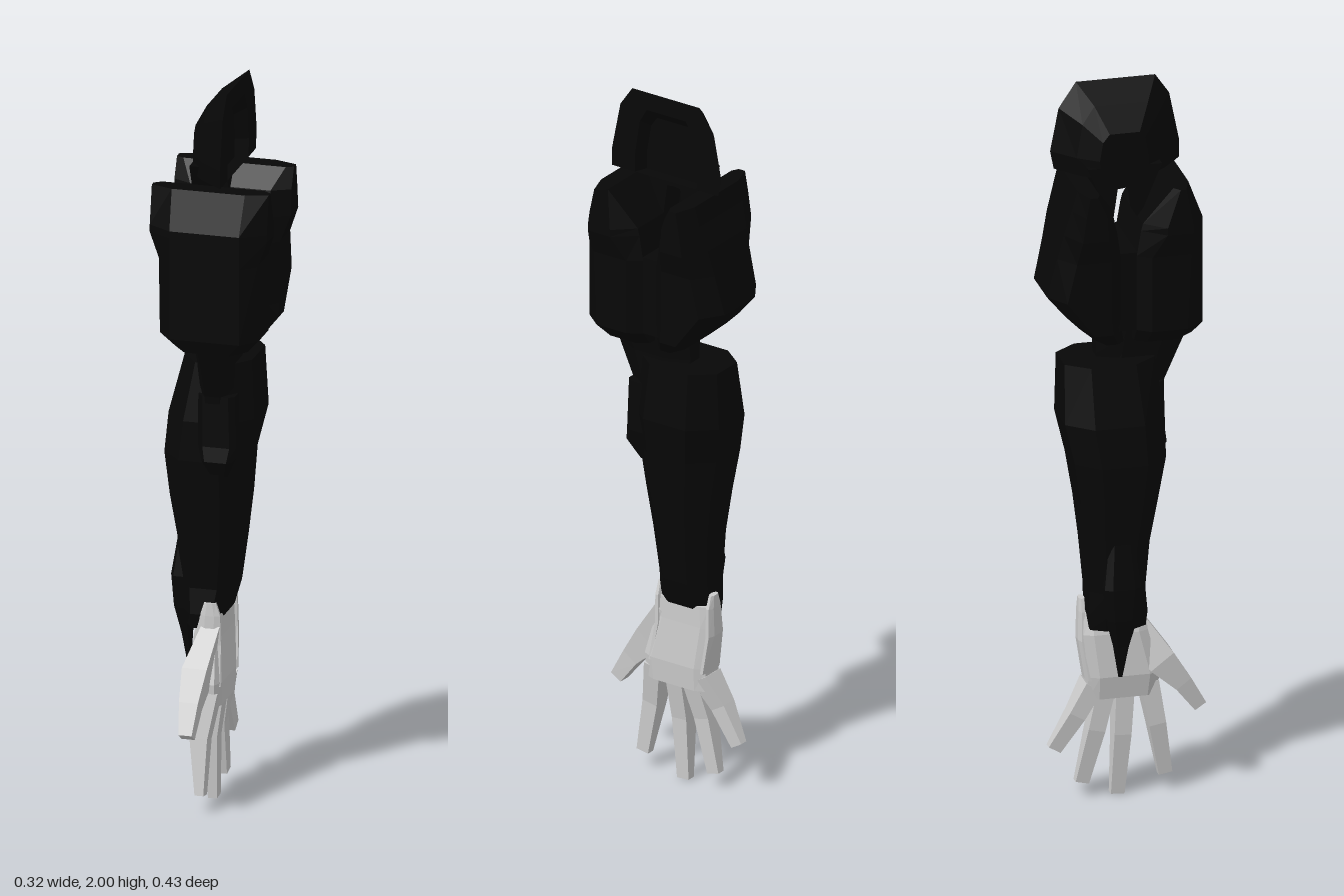
import * as THREE from 'three';

const dark = new THREE.MeshStandardMaterial({ color: 0x070707, flatShading: true });
const grey = new THREE.MeshStandardMaterial({ color: 0xcccccc, flatShading: true });

// Closed solid through a list of rings ([x, y, z] corners), capped by fans
function loft(name, rings, material) {
  const n = rings[0].length, tris = [];
  for (let i = 0; i < rings.length - 1; i++) {
    for (let j = 0; j < n; j++) {
      const k = (j + 1) % n;
      const [a, b, c, d] = [rings[i][j], rings[i][k], rings[i + 1][k], rings[i + 1][j]];
      tris.push([a, c, b], [a, d, c]);
    }
  }
  const fan = (ring, flip) => {
    const mid = [0, 1, 2].map(q => ring.reduce((s, p) => s + p[q], 0) / n);
    ring.forEach((p, j) => {
      const r = ring[(j + 1) % n];
      tris.push(flip ? [mid, r, p] : [mid, p, r]);
    });
  };
  fan(rings[0], false);
  fan(rings[rings.length - 1], true);
  // Turn the faces outward by the sign of the enclosed volume
  const vol = tris.reduce((s, [a, b, c]) => s
    + a[0] * (b[1] * c[2] - b[2] * c[1])
    + a[1] * (b[2] * c[0] - b[0] * c[2])
    + a[2] * (b[0] * c[1] - b[1] * c[0]), 0);
  if (vol < 0) tris.forEach(t => t.reverse());
  const geo = new THREE.BufferGeometry();
  geo.setAttribute('position', new THREE.Float32BufferAttribute(tris.flat(2), 3));
  geo.computeVertexNormals();
  const mesh = new THREE.Mesh(geo, material);
  mesh.name = name;
  return mesh;
}

// Horizontal rectangle with cut corners
function octagon([y, x0, x1, z0, z1], cut = 0.28) {
  const cx = (x1 - x0) * cut, cz = (z1 - z0) * cut;
  return [[x0 + cx, y, z0], [x1 - cx, y, z0], [x1, y, z0 + cz], [x1, y, z1 - cz],
    [x1 - cx, y, z1], [x0 + cx, y, z1], [x0, y, z1 - cz], [x0, y, z0 + cz]];
}

// Half of the upper arm block: narrow inner edge, wide sides, chamfered outer face
function slabRing([y, w, zIn, zA, zB, zOut, wIn, wOut]) {
  const half = [[wIn, zIn], [w, zA], [w, zB], [wOut, zOut]];
  return [...half.map(([x, z]) => [x, y, z]),
    ...half.reverse().map(([x, z]) => [-x, y, z])];
}

// Tapered finger along [x, y, z, width, thickness] stations, bending in the hand plane
function finger(name, stations) {
  const rings = stations.map(([x, y, z, w, t], i) => {
    const a = stations[Math.max(i - 1, 0)], b = stations[Math.min(i + 1, stations.length - 1)];
    const dy = b[1] - a[1], dz = b[2] - a[2], len = Math.hypot(dy, dz);
    const py = dz / len * w / 2, pz = -dy / len * w / 2;
    return [[x - t / 2, y - py, z - pz], [x + t / 2, y - py, z - pz],
      [x + t / 2, y + py, z + pz], [x - t / 2, y + py, z + pz]];
  });
  return loft(name, rings, grey);
}

export function createModel() {
  const model = new THREE.Group();

  // Shoulder cap: recessed inner face open at the bottom, sloping to a small outer face
  const outline = [[0.1, 1.76], [0.17, 1.76], [0.17, 1.81], [0.143, 1.945], [0.105, 2], [-0.11, 2],
    [-0.157, 1.93], [-0.18, 1.81], [-0.17, 1.76], [-0.1, 1.76]];
  const capRing = (x, sz, top) => outline.map(([z, y]) =>
    [x, 1.83 + (y - 1.83) * (y > 1.83 ? top : 1), -0.005 + (z + 0.005) * sz]);
  model.add(loft('shoulderCap', [
    capRing(0, 0.5, 0.5), capRing(0.035, 0.58, 0.7), capRing(0.035, 1, 1),
    capRing(-0.03, 0.68, 0.72), capRing(-0.07, 0.38, 0.32),
  ], dark));

  // Forked shoulder joint reaching down into the notch
  const prong = [[0.1, 1.79], [0, 1.79], [0, 1.73], [0.02, 1.73], [0.032, 1.645], [0.05, 1.67]];
  for (const side of [1, -1]) {
    model.add(loft('shoulderJoint', [-0.07, 0].map(x =>
      prong.map(([z, y]) => [x, y, z * side - 0.003])), dark));
  }

  // Upper arm: front and back slabs around a core, with an open notch above it
  model.add(loft('upperArmFront', [
    [1.745, 0.16, 0.11, 0.125, 0.14, 0.16, 0.14, 0.1],
    [1.64, 0.16, 0.035, 0.09, 0.16, 0.2, 0.11, 0.095],
    [1.62, 0.16, 0.03, 0.09, 0.16, 0.2, 0.11, 0.095],
    [1.55, 0.135, 0.018, 0.055, 0.16, 0.2, 0.11, 0.095],
    [1.34, 0.135, 0.018, 0.055, 0.15, 0.2, 0.11, 0.095],
    [1.3, 0.1, 0.018, 0.05, 0.13, 0.18, 0.08, 0.06],
  ].map(slabRing), dark));
  model.add(loft('upperArmBack', [
    [1.745, 0.16, -0.09, -0.1, -0.12, -0.14, 0.14, 0.1],
    [1.69, 0.16, -0.05, -0.075, -0.13, -0.155, 0.11, 0.1],
    [1.62, 0.16, -0.035, -0.07, -0.14, -0.175, 0.11, 0.09],
    [1.55, 0.135, -0.025, -0.055, -0.15, -0.19, 0.11, 0.08],
    [1.44, 0.132, -0.025, -0.055, -0.175, -0.215, 0.11, 0.07],
    [1.38, 0.132, -0.025, -0.055, -0.13, -0.165, 0.11, 0.07],
    [1.34, 0.132, -0.02, -0.05, -0.1, -0.125, 0.1, 0.07],
    [1.3, 0.1, -0.01, -0.03, -0.06, -0.08, 0.08, 0.06],
  ].map(slabRing), dark));
  const core = new THREE.Mesh(new THREE.BoxGeometry(0.22, 0.22, 0.06), dark);
  core.name = 'upperArmCore';
  core.position.set(0, 1.45, -0.003);
  model.add(core);

  // Elbow link
  model.add(loft('elbow', [
    [1.36, -0.065, 0.065, -0.06, 0.195], [1.3, -0.055, 0.055, -0.07, 0.178],
    [1.25, -0.05, 0.045, -0.07, 0.155], [1.16, -0.05, 0.045, -0.06, 0.115],
    [1.08, -0.04, 0.035, -0.06, 0.105],
  ].map(s => octagon(s)), dark));
  model.add(loft('elbowGuard', [
    [1.16, -0.045, 0.055, 0.02, 0.112], [1.02, -0.045, 0.06, 0.02, 0.115],
    [0.98, -0.035, 0.05, 0.02, 0.122], [0.93, -0.02, 0.03, 0.02, 0.09],
  ].map(s => octagon(s, 0.15)), dark));

  // Forearm
  model.add(loft('forearm', [
    [1.24, -0.105, 0.08, -0.165, 0.08], [1.08, -0.145, 0.09, -0.17, 0.1],
    [0.97, -0.155, 0.065, -0.147, 0.1], [0.85, -0.143, 0.058, -0.127, 0.08],
    [0.73, -0.125, 0.045, -0.113, 0.06], [0.6, -0.12, 0.028, -0.103, 0.048],
    [0.53, -0.11, 0.008, -0.105, 0.055], [0.49, -0.1, -0.02, -0.1, 0.05],
  ].map(s => octagon(s, 0.25)), dark));

  // Pointed guard over the back of the hand
  model.add(loft('handGuard', [
    [0.74, -0.127, -0.09, -0.06, 0.01], [0.62, -0.146, -0.09, -0.075, 0.025],
    [0.53, -0.14, -0.09, -0.065, 0.015], [0.45, -0.122, -0.098, -0.045, -0.005],
    [0.36, -0.108, -0.1, -0.03, -0.02],
  ].map(s => octagon(s, 0.2)), dark));

  // Hand: palm, two wrist flaps running down its edges, and five digits
  const hand = new THREE.Group();
  hand.name = 'hand';
  hand.add(loft('palm', [
    [0.53, -0.06, 0, -0.11, 0.055], [0.47, -0.075, 0.002, -0.115, 0.06],
    [0.35, -0.08, 0.01, -0.103, 0.092], [0.285, -0.068, 0.006, -0.1, 0.086],
  ].map(s => octagon(s, 0.15)), grey));
  for (const [zTop, zLow] of [[0.05, 0.07], [-0.112, -0.095]]) {
    hand.add(loft('wristFlap', [
      [0.565, -0.042, -0.01, zTop - 0.008, zTop + 0.008],
      [0.53, -0.053, 0.002, zTop - 0.01, zTop + 0.01],
      [0.45, -0.062, 0.004, zTop - 0.012, zTop + 0.01],
      [0.34, -0.07, 0.008, zLow - 0.012, zLow + 0.008],
    ].map(s => octagon(s)), grey));
  }
  hand.add(finger('thumb', [[-0.024, 0.48, 0.025, 0.075, 0.05], [-0.048, 0.38, 0.095, 0.078, 0.068],
    [-0.05, 0.31, 0.155, 0.05, 0.052], [-0.047, 0.238, 0.203, 0.036, 0.036]]));
  const digits = {
    indexFinger: [0.065, 0.113, 0.05], middleFinger: [0, -0.017, 0.005],
    ringFinger: [-0.05, -0.113, 0.045], littleFinger: [-0.085, -0.188, 0.145],
  };
  for (const [name, [z0, z1, y1]] of Object.entries(digits)) {
    const at = (t, x, w, d) => [x, 0.32 + (y1 - 0.32) * t, z0 + (z1 - z0) * t, w, d];
    hand.add(finger(name, [at(0, -0.031, 0.05, 0.07), at(0.45, -0.042, 0.046, 0.048),
      at(1, -0.034, 0.037, 0.024)]));
  }
  model.add(hand);
  return model;
}
